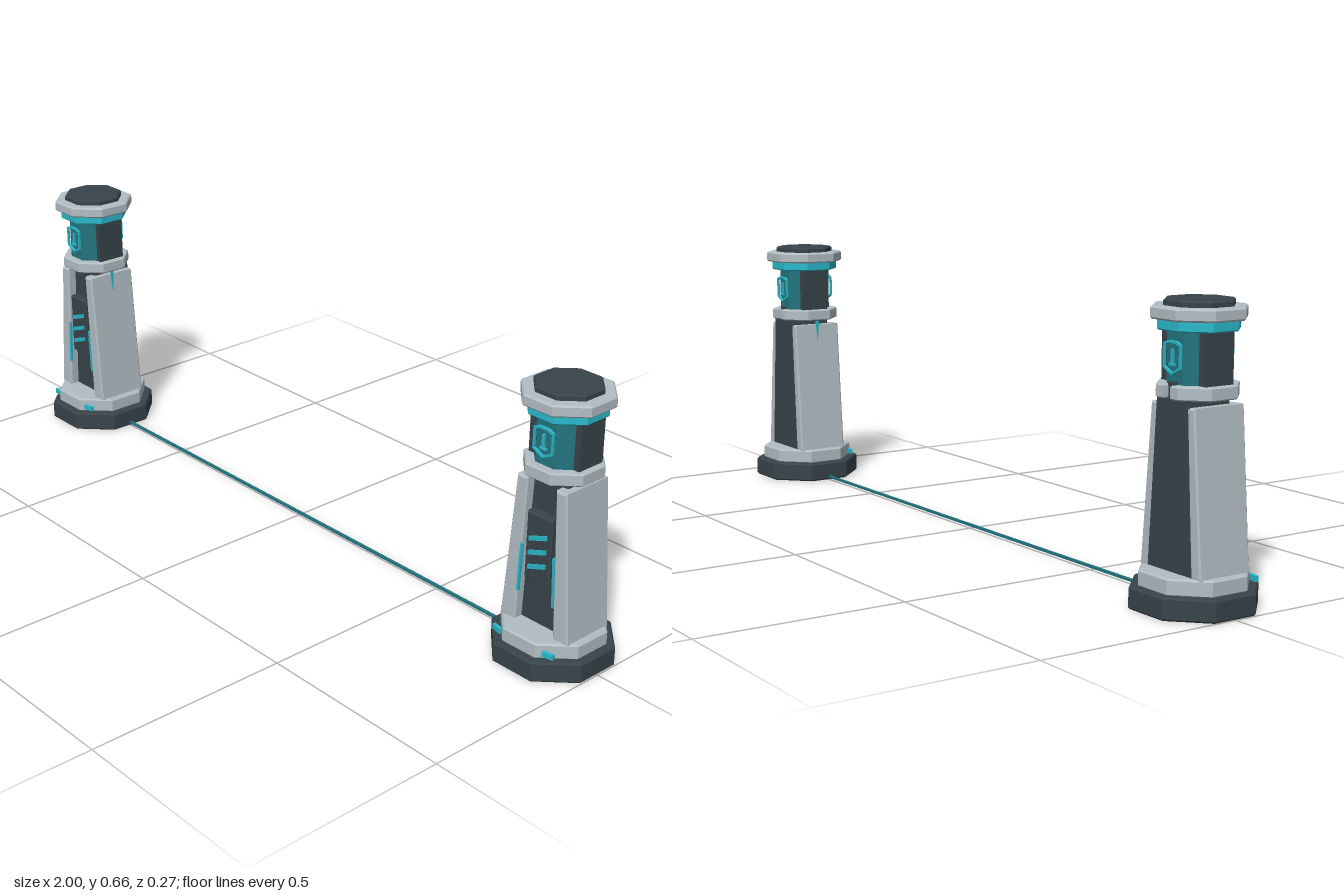
import * as THREE from 'three';

const mat = (name, color) => {
  const m = new THREE.MeshStandardMaterial({ color });
  m.name = name;
  return m;
};

export function createModel() {
  const grey = mat('lightGrey', 0xb2bec4);
  const dark = mat('darkSlate', 0x38444a);
  const glass = mat('tealGlass', 0x23747f);
  const cyan = mat('cyan', 0x2bb9cb);

  const root = new THREE.Group();
  root.name = 'gatePylons';

  const add = (parent, name, geo, material, x = 0, y = 0, z = 0) => {
    const m = new THREE.Mesh(geo, material);
    m.name = name;
    m.position.set(x, y, z);
    parent.add(m);
    return m;
  };
  const box = (w, h, d) => new THREE.BoxGeometry(w, h, d);
  const shapeOf = (pts) => new THREE.Shape(pts.map(([x, y]) => new THREE.Vector2(x, y)));

  // bevelled prism from a shape in x/y, running from z0 to z1
  const prism = (shape, z0, z1, b = 0.004) => {
    const g = new THREE.ExtrudeGeometry(shape, {
      depth: z1 - z0 - 2 * b, bevelEnabled: b > 0, bevelThickness: b,
      bevelSize: b, bevelOffset: -b, bevelSegments: 1, curveSegments: 1,
    });
    return g.translate(0, 0, z0 + b);
  };

  // octagon with flats on the axes, a = centre to flat
  const octPoints = (a) => {
    const t = a * Math.tan(Math.PI / 8);
    return [[t, -a], [a, -t], [a, t], [t, a], [-t, a], [-a, t], [-a, -t], [-t, -a]];
  };
  // horizontal slab; shape y points to the back once laid down
  const slab = (pts, y0, y1, b) => prism(shapeOf(pts), y0, y1, b).rotateX(-Math.PI / 2);

  const makePylon = (inner) => {
    const p = new THREE.Group();
    p.name = 'pylon';

    // foot
    add(p, 'foot', slab(octPoints(0.134), 0, 0.05), dark);
    add(p, 'footStep', slab(octPoints(0.115), 0.048, 0.086), grey);
    for (const s of [-1, 1]) {
      add(p, 'footLamp', box(0.028, 0.013, 0.008), cyan, s * 0.075, 0.064, 0.101)
        .rotation.y = s * 0.2;
    }

    // tapered core with leaning side panels
    const core = [[-0.075, 0.08], [0.075, 0.08], [0.052, 0.47], [-0.052, 0.47]];
    add(p, 'core', prism(shapeOf(core), -0.07, 0.045), dark);
    add(p, 'backSpine', box(0.024, 0.06, 0.03), dark, 0, 0.46, -0.056);
    for (const s of [-1, 1]) {
      const pts = [[0.056, 0.083], [0.099, 0.083], [0.07, 0.442], [0.04, 0.442]];
      const panel = pts.map(([x, y]) => [s * x, y]);
      add(p, 'sidePanel', prism(shapeOf(panel), -0.069, 0.069), grey);
      // glowing seam along the panel's front inner edge
      add(p, 'frontSeam', box(0.006, 0.12, 0.006), cyan, s * 0.049, 0.22, 0.067)
        .rotation.z = s * 0.045;
    }
    // sliver of light on the panel facing the other pylon
    const sliver = shapeOf([[-0.004, 0.452], [0, 0.395], [0.004, 0.452]]);
    add(p, 'innerSliver', prism(sliver, -0.003, 0.003, 0).rotateY(Math.PI / 2),
      cyan, inner * 0.073, 0, 0);

    // front screen with three slanted bars
    add(p, 'screen', prism(shapeOf([[-0.036, 0.2], [0.036, 0.2], [0.036, 0.365], [-0.036, 0.365]]),
      0.04, 0.068, 0.003), dark);
    for (let i = 0; i < 3; i++) {
      const y = 0.24 + i * 0.035;
      const bar = shapeOf([[-0.025, y - 0.013], [0.025, y + 0.005], [0.025, y + 0.016], [-0.025, y - 0.002]]);
      add(p, 'screenBar', prism(bar, 0.067, 0.072, 0), cyan);
    }

    // collar, notched at the back for the spine
    const collar = octPoints(0.085);
    collar.splice(4, 0, [0.011, 0.085], [0.011, 0.06], [-0.011, 0.06], [-0.011, 0.085]);
    add(p, 'collar', slab(collar, 0.455, 0.485, 0.003), grey);

    // lamp chamber with dark side blocks
    add(p, 'lampGlass', slab(octPoints(0.064), 0.48, 0.6, 0), glass);
    for (const s of [-1, 1]) {
      add(p, 'lampSide', box(0.022, 0.118, 0.076), dark, s * 0.06, 0.54, -0.003);
      // floating emblem: hexagonal ring and a short mark
      const emblem = new THREE.Group();
      emblem.name = 'emblem';
      const ring = (k) => [[0, -0.036], [0.028, -0.022], [0.028, 0.03], [0.012, 0.036],
        [-0.012, 0.036], [-0.028, 0.03], [-0.028, -0.022]].map(([x, y]) => [x * k, y * k]);
      const outline = shapeOf(ring(1));
      outline.holes.push(shapeOf(ring(0.85)));
      add(emblem, 'emblemRing', prism(outline, -0.003, 0.003, 0), cyan);
      add(emblem, 'emblemMark', box(0.006, 0.03, 0.006), cyan, 0, 0.004, 0);
      add(emblem, 'emblemFoot', box(0.018, 0.005, 0.006), cyan, 0, -0.014, 0);
      emblem.position.set(0, 0.541, s * 0.071);
      if (s < 0) emblem.rotation.y = Math.PI;
      p.add(emblem);
    }

    // glowing ring and cap
    add(p, 'glowRing', slab(octPoints(0.085), 0.597, 0.622, 0.003), cyan);
    add(p, 'cap', slab(octPoints(0.099), 0.62, 0.648), grey);
    add(p, 'capLid', slab(octPoints(0.073), 0.644, 0.662), dark);
    return p;
  };

  for (const s of [-1, 1]) {
    const pylon = makePylon(-s);
    pylon.position.x = s * 0.866;
    root.add(pylon);
  }

  // thin tripwire joining the two feet
  add(root, 'groundBeam', box(1.48, 0.006, 0.007), glass, 0, 0.009, 0);
  return root;
}
